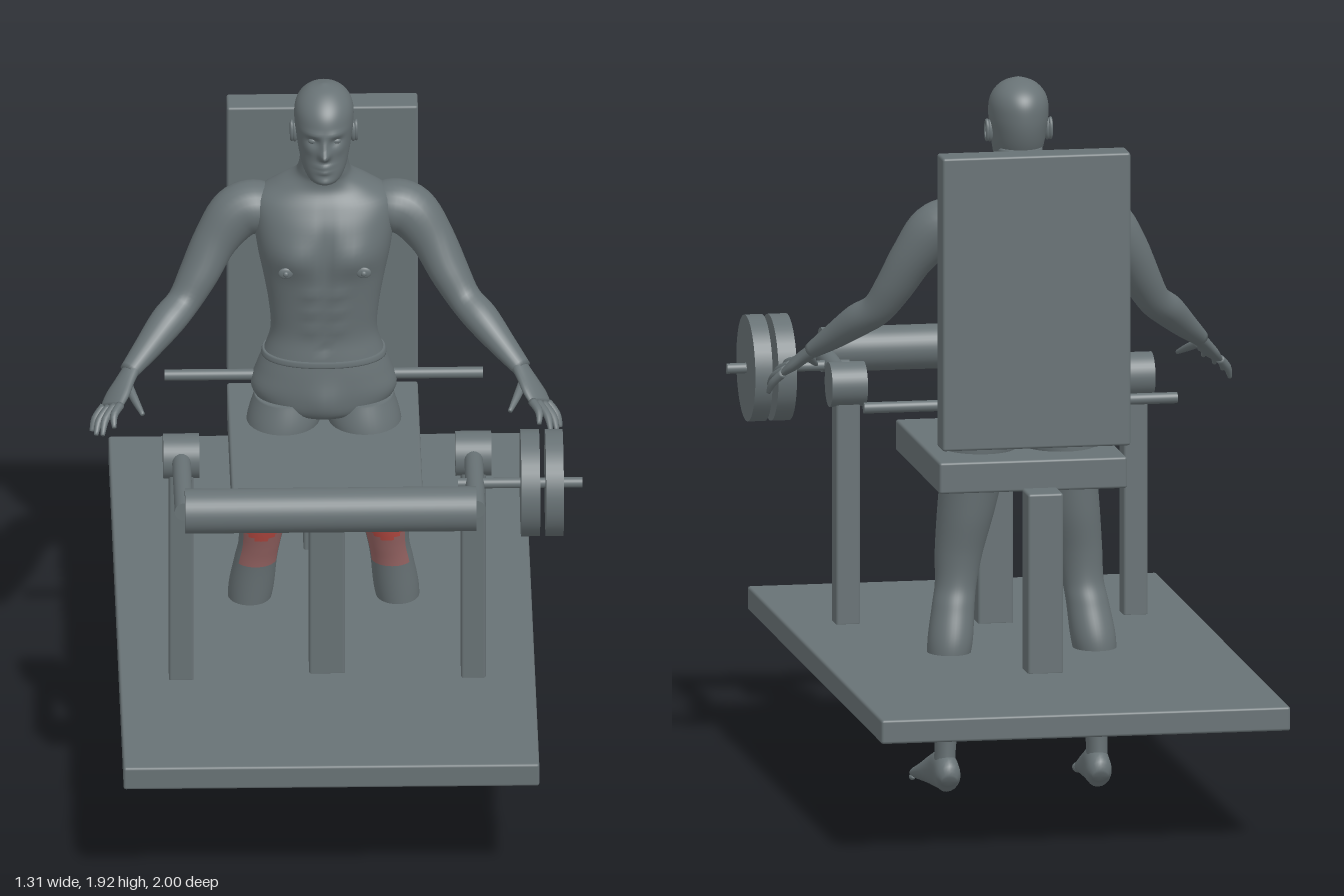
import * as THREE from 'three';
import { RoundedBoxGeometry } from 'three/addons/geometries/RoundedBoxGeometry.js';

const CX = -0.025; // shared centre line of figure and machine
const mat = (name, color) => {
  const m = new THREE.MeshStandardMaterial({ color });
  m.name = name;
  return m;
};

export function createModel() {
  const grey = mat('slate grey', 0x687275);
  const red = mat('muscle red', 0xb84b43);
  const pale = mat('tendon red', 0x966463);
  const model = new THREE.Group();
  const machine = new THREE.Group();
  machine.name = 'legExtensionMachine';
  const figure = new THREE.Group();
  figure.name = 'figure';
  figure.position.x = CX;
  model.add(machine, figure);

  const add = (parent, name, geo, material = grey, pos = [0, 0, 0]) => {
    const m = new THREE.Mesh(geo, material);
    m.name = name;
    m.position.set(...pos);
    parent.add(m);
    return m;
  };

  // ---------- helpers ----------
  // Catmull-Rom resampling of rows of numbers
  const resample = (rows, steps) => {
    const out = [];
    const at = i => rows[Math.min(Math.max(i, 0), rows.length - 1)];
    for (let i = 0; i < rows.length - 1; i++) {
      for (let k = 0; k < steps; k++) {
        const t = k / steps;
        out.push(rows[i].map((p1, c) => {
          const p0 = at(i - 1)[c], p2 = at(i + 1)[c], p3 = at(i + 2)[c];
          return p1 + 0.5 * t * (p2 - p0 + t * (2 * p0 - 5 * p1 + 4 * p2 - p3 + t * (3 * (p1 - p2) + p3 - p0)));
        }));
      }
    }
    out.push(rows[rows.length - 1]);
    return out;
  };

  // Closed skin over rings of points; pick(ring, segment) selects a material slot
  const skin = (rings, pick = () => 0) => {
    const n = rings[0].length, pos = [], slots = [[], [], []];
    rings.forEach(r => r.forEach(p => pos.push(p.x, p.y, p.z)));
    rings.slice(0, -1).forEach((r, i) => {
      for (let j = 0; j < n; j++) {
        const a = i * n + j, b = i * n + (j + 1) % n;
        slots[pick(i, j)].push(a, b, b + n, a, b + n, a + n);
      }
    });
    [0, rings.length - 1].forEach((i, end) => {
      const c = rings[i].reduce((s, p) => s.add(p), new THREE.Vector3()).divideScalar(n);
      const ci = pos.length / 3;
      pos.push(c.x, c.y, c.z);
      for (let j = 0; j < n; j++) {
        const a = i * n + j, b = i * n + (j + 1) % n;
        slots[0].push(ci, end ? a : b, end ? b : a);
      }
    });
    const g = new THREE.BufferGeometry();
    g.setAttribute('position', new THREE.Float32BufferAttribute(pos, 3));
    g.setIndex(slots.flat());
    let start = 0;
    slots.forEach((s, k) => { if (s.length) g.addGroup(start, s.length, k); start += s.length; });
    g.computeVertexNormals();
    return g;
  };

  // Upright form: rows [y, centreX, halfWidth, zFront, zBack], bumps [|x|, y, side, amount, sx, sy]
  const upright = (rows, { steps = 5, n = 48, power = 1, bumps = [], pick } = {}) => {
    const fine = resample(rows, steps);
    const pw = v => Math.sign(v) * Math.abs(v) ** power;
    const rings = fine.map(([y, cx, rx, zf, zb]) => Array.from({ length: n }, (_, j) => {
      const a = j / n * Math.PI * 2, x = rx * pw(Math.sin(a));
      let z = (zf + zb) / 2 + (zf - zb) / 2 * pw(Math.cos(a));
      for (const [bx, by, side, amt, sx, sy] of bumps) {
        if (side * Math.cos(a) > 0)
          z += side * amt * Math.exp(-(((Math.abs(x) - bx) / sx) ** 2) - ((y - by) / sy) ** 2);
      }
      return new THREE.Vector3(cx + x, y, z);
    }));
    return skin(rings, pick && ((i, j) => pick(fine[i][0], (j + 0.5) / n * Math.PI * 2)));
  };

  // Limb along a path: rows [x, y, z, radiusAlongRef, radiusAcross]
  const limb = (rows, ref = [0, 1, 0], steps = 4, n = 16) => {
    const fine = resample(rows, steps);
    const pts = fine.map(r => new THREE.Vector3(r[0], r[1], r[2]));
    return skin(fine.map((r, i) => {
      const t = pts[Math.min(i + 1, pts.length - 1)].clone().sub(pts[Math.max(i - 1, 0)]).normalize();
      const u = new THREE.Vector3(...ref);
      u.addScaledVector(t, -u.dot(t)).normalize();
      const v = t.clone().cross(u);
      return Array.from({ length: n }, (_, j) => {
        const a = j / n * Math.PI * 2;
        const p = pts[i].clone().addScaledVector(u, r[3] * Math.cos(a)).addScaledVector(v, r[4] * Math.sin(a));
        p.y = Math.max(p.y, 0);
        return p;
      });
    }));
  };

  // ---------- machine ----------
  const slab = (name, x0, x1, y0, y1, z0, z1) => add(machine, name,
    new RoundedBoxGeometry(x1 - x0, y1 - y0, z1 - z0, 2, 0.007), grey,
    [(x0 + x1) / 2, (y0 + y1) / 2, (z0 + z1) / 2]);
  const rod = (name, x0, x1, y, z, r) => add(machine, name,
    new THREE.CylinderGeometry(r, r, x1 - x0, 40).rotateZ(Math.PI / 2), grey, [(x0 + x1) / 2, y, z]);

  slab('basePlate', -0.58, 0.53, 0.315, 0.38, -1, 1);
  slab('seat', -0.28, 0.23, 0.84, 0.925, -0.215, 0.44);
  slab('backrest', -0.28, 0.23, 0.965, 1.76, -0.265, -0.178);
  slab('frontSeatPost', -0.073, 0.023, 0.375, 0.85, 0.345, 0.44);
  slab('rearPost', -0.073, 0.023, 0.375, 0.867, -0.4, -0.305);
  rod('hipRod', -0.45, 0.4, 1.045, -0.02, 0.015);
  for (const s of [-1, 1]) {
    const x = CX + s * 0.39;
    slab('sidePost', x - 0.033, x + 0.033, 0.375, 1.0, 0.4, 0.473);
    rod('pivot', x - 0.048, x + 0.048, 1.027, 0.43, 0.06);
    const arm = add(machine, 'leverArm', new THREE.CylinderGeometry(0.025, 0.025, 0.39, 24), grey, [x, 1.04, 0.62]);
    arm.rotation.x = Math.PI / 2 - 0.05;
  }
  rod('shinRoller', -0.412, 0.365, 1.05, 0.81, 0.06);
  rod('weightBar', 0.32, 0.652, 1.04, 0.637, 0.014);
  rod('innerWeightPlate', 0.487, 0.537, 1.04, 0.637, 0.143);
  rod('outerWeightPlate', 0.553, 0.6, 1.04, 0.637, 0.143);

  // ---------- head ----------
  add(figure, 'head', upright([
    [1.66, 0, 0.03, 0.085, 0], [1.675, 0, 0.044, 0.117, -0.02], [1.7, 0, 0.058, 0.121, -0.05],
    [1.74, 0, 0.068, 0.117, -0.075], [1.78, 0, 0.074, 0.118, -0.09], [1.82, 0, 0.079, 0.119, -0.096],
    [1.86, 0, 0.078, 0.11, -0.093], [1.89, 0, 0.066, 0.088, -0.075], [1.913, 0, 0.041, 0.055, -0.04],
    [1.925, 0, 0.005, 0.015, 0.005],
  ], {
    steps: 7, n: 72,
    bumps: [
      [0, 1.762, 1, 0.03, 0.013, 0.014], [0, 1.785, 1, 0.014, 0.01, 0.02], // nose
      [0.03, 1.797, 1, -0.011, 0.017, 0.011], [0.03, 1.82, 1, 0.005, 0.025, 0.009], // sockets, brow
      [0, 1.728, 1, 0.009, 0.022, 0.006], [0, 1.713, 1, 0.008, 0.019, 0.006], // lips
      [0, 1.683, 1, 0.005, 0.02, 0.01], [0.042, 1.77, 1, 0.004, 0.014, 0.015], // chin, cheeks
    ],
  }));

  // ---------- torso and neck ----------
  add(figure, 'torso', upright([
    [0.945, 0, 0.06, 0.05, -0.06], [0.97, 0, 0.15, 0.09, -0.11], [1.02, 0, 0.194, 0.1, -0.13],
    [1.08, 0, 0.18, 0.1, -0.127], [1.14, 0, 0.157, 0.095, -0.108], [1.2, 0, 0.142, 0.09, -0.094],
    [1.28, 0, 0.148, 0.1, -0.1], [1.36, 0, 0.162, 0.112, -0.122], [1.44, 0, 0.178, 0.12, -0.14],
    [1.52, 0, 0.188, 0.11, -0.145], [1.58, 0, 0.185, 0.082, -0.13], [1.62, 0, 0.13, 0.058, -0.11],
    [1.65, 0, 0.082, 0.055, -0.088], [1.68, 0, 0.067, 0.065, -0.08], [1.74, 0, 0.06, 0.07, -0.075],
  ], {
    n: 64, power: 0.9,
    bumps: [
      [0.085, 1.45, 1, 0.018, 0.06, 0.05], [0, 1.45, 1, -0.012, 0.014, 0.09], // chest
      [0.035, 1.34, 1, 0.006, 0.025, 0.018], [0.035, 1.285, 1, 0.006, 0.025, 0.018],
      [0.035, 1.23, 1, 0.005, 0.025, 0.02], [0, 1.17, 1, -0.007, 0.01, 0.01], // abdomen
      [0.09, 1.48, -1, 0.012, 0.05, 0.06], [0, 1.36, -1, -0.014, 0.018, 0.2], // blades, spine
      [0.08, 1.0, -1, 0.014, 0.06, 0.05], [0, 1.01, 1, 0.014, 0.04, 0.05],
    ],
  }));
  add(figure, 'waistband', upright([
    [1.118, 0, 0.167, 0.1, -0.118], [1.125, 0, 0.167, 0.101, -0.118], [1.135, 0, 0.163, 0.1, -0.114],
  ], { n: 64, power: 0.9, steps: 2 }));

  for (const s of [-1, 1]) {
    const m = rows => rows.map(([x, ...rest]) => [s * x, ...rest]);
    const ball = (name, r, scale, [x, y, z]) => add(figure, name,
      new THREE.SphereGeometry(r, 18, 12).scale(...scale), grey, [s * x, y, z]);

    ball('ear', 0.03, [0.35, 1, 0.6], [0.078, 1.782, 0.008]);
    add(figure, 'earRim', new THREE.TorusGeometry(0.02, 0.005, 8, 20).scale(0.75, 1.25, 1).rotateY(Math.PI / 2),
      grey, [s * 0.086, 1.784, 0.006]);
    ball('eye', 0.012, [1.2, 0.75, 0.8], [0.03, 1.796, 0.095]);
    ball('nipple', 0.02, [1, 0.8, 0.3], [0.104, 1.41, 0.113]);
    ball('nipple', 0.008, [1, 1, 0.8], [0.104, 1.41, 0.119]);

    // arm: shoulder to wrist
    add(figure, 'arm', limb(m([
      [0.12, 1.535, -0.035, 0.05, 0.06], [0.18, 1.54, -0.035, 0.07, 0.075], [0.235, 1.52, -0.028, 0.073, 0.07],
      [0.29, 1.45, -0.01, 0.06, 0.06], [0.335, 1.365, 0.02, 0.051, 0.055], [0.375, 1.3, 0.05, 0.044, 0.046],
      [0.42, 1.262, 0.095, 0.044, 0.048], [0.475, 1.21, 0.15, 0.034, 0.038], [0.525, 1.165, 0.2, 0.022, 0.028],
    ]), [0, 1, 0], 5, 24));

    // hand
    const across = [s * 0.6, -0.3, -0.7];
    add(figure, 'palm', limb(m([
      [0.515, 1.172, 0.19, 0.026, 0.02], [0.535, 1.15, 0.222, 0.034, 0.018],
      [0.555, 1.125, 0.255, 0.044, 0.017], [0.572, 1.103, 0.285, 0.042, 0.012],
    ]), across));
    const fingers = [
      [[0.55, 1.118, 0.306], [0.567, 1.106, 0.342], [0.567, 1.083, 0.372]],
      [[0.565, 1.11, 0.295], [0.59, 1.09, 0.335], [0.598, 1.062, 0.374]],
      [[0.58, 1.1, 0.282], [0.606, 1.077, 0.315], [0.615, 1.05, 0.347]],
      [[0.592, 1.093, 0.262], [0.616, 1.066, 0.28], [0.626, 1.036, 0.296]],
      [[0.53, 1.145, 0.225], [0.512, 1.125, 0.28], [0.49, 1.102, 0.332]],
    ];
    fingers.forEach((f, i) => add(figure, i < 4 ? 'finger' : 'thumb',
      limb(m(f.map((p, k) => [...p, [0.012, 0.011, 0.006][k], [0.012, 0.011, 0.006][k]])), across, 4, 10)));

    // leg with the front thigh picked out in red
    add(figure, 'leg', upright([
      [0.05, 0.207, 0.032, 0.02, -0.072], [0.1, 0.206, 0.028, 0.012, -0.066], [0.2, 0.203, 0.034, 0.012, -0.072],
      [0.3, 0.205, 0.046, 0.02, -0.098], [0.4, 0.195, 0.06, 0.03, -0.108], [0.5, 0.182, 0.057, 0.042, -0.078],
      [0.56, 0.172, 0.056, 0.056, -0.06], [0.64, 0.162, 0.064, 0.08, -0.062], [0.74, 0.145, 0.075, 0.1, -0.08],
      [0.84, 0.128, 0.084, 0.11, -0.094], [0.93, 0.108, 0.098, 0.108, -0.11], [1.0, 0.1, 0.085, 0.09, -0.11],
    ].map(r => [r[0], s * r[1], ...r.slice(2)]), {
      steps: 8, n: 40,
      pick: (y, a) => {
        const outer = s * Math.sin(a);
        if (y < 0.5 || y > 0.9 || Math.cos(a) < 0.25 || outer > 0.84) return 0;
        return y < 0.575 + 0.04 * Math.abs(outer) ? 2 : 1;
      },
    }), [grey, red, pale]);

    // foot and toes
    add(figure, 'foot', limb(m([
      [0.205, 0.035, -0.087, 0.015, 0.02], [0.205, 0.045, -0.068, 0.045, 0.034], [0.206, 0.055, -0.02, 0.055, 0.036],
      [0.21, 0.048, 0.03, 0.05, 0.038], [0.217, 0.034, 0.09, 0.034, 0.046], [0.224, 0.022, 0.14, 0.022, 0.048],
      [0.226, 0.016, 0.163, 0.014, 0.042],
    ]), [0, 1, 0], 4, 20));
    for (let i = 0; i < 5; i++) {
      const r = i ? 0.0105 - i * 0.0005 : 0.014;
      ball('toe', r, [1, 0.95, 1.9], [0.19 + i * 0.0185, r, 0.172 - i * i * 0.0018]);
    }
  }
  return model;
}
